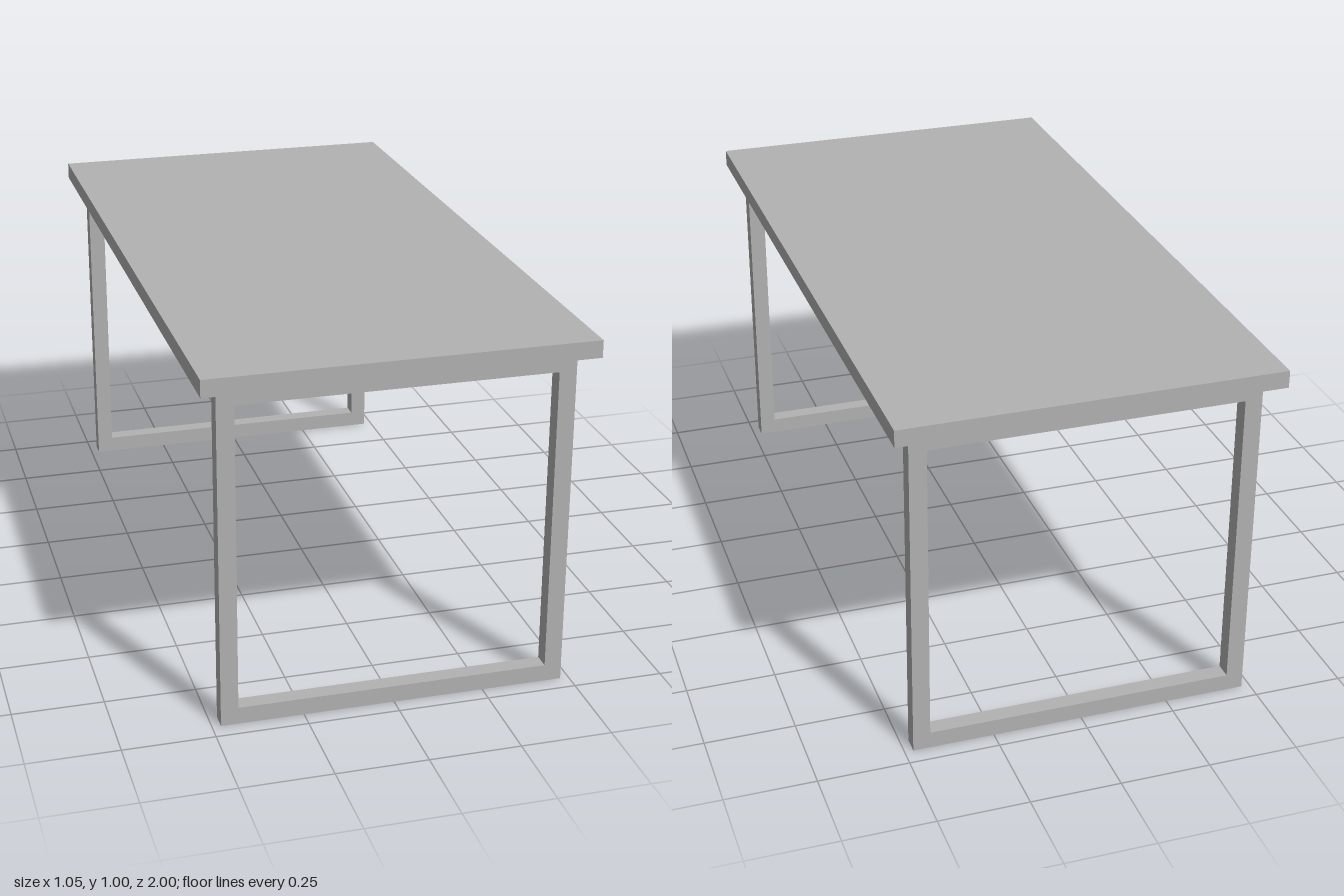
import * as THREE from 'three';

const TOP = { width: 1.048, length: 2, thickness: 0.048, height: 1 };
const BAR = 0.0476; // square section of the leg frames
const INSET = 0.048; // frame setback from the tabletop edges

// Rectangular loop of square bar, centred on x and z, standing on y = 0
function frameGeometry(width, height) {
  const w = width / 2;
  const shape = new THREE.Shape([
    new THREE.Vector2(-w, 0),
    new THREE.Vector2(w, 0),
    new THREE.Vector2(w, height),
    new THREE.Vector2(-w, height),
  ]);
  shape.holes.push(new THREE.Path([
    new THREE.Vector2(-w + BAR, BAR),
    new THREE.Vector2(-w + BAR, height - BAR),
    new THREE.Vector2(w - BAR, height - BAR),
    new THREE.Vector2(w - BAR, BAR),
  ]));
  return new THREE.ExtrudeGeometry(shape, { depth: BAR, bevelEnabled: false })
    .translate(0, 0, -BAR / 2);
}

export function createModel() {
  const table = new THREE.Group();
  table.name = 'table';
  const grey = new THREE.MeshStandardMaterial({ color: 0xb2b2b2 });
  grey.name = 'light grey';

  // Tabletop slab
  const top = new THREE.Mesh(new THREE.BoxGeometry(TOP.width, TOP.thickness, TOP.length), grey);
  top.name = 'tabletop';
  top.position.y = TOP.height - TOP.thickness / 2;
  table.add(top);

  // Leg frames at the front and back ends
  const geometry = frameGeometry(TOP.width - 2 * INSET, TOP.height - TOP.thickness);
  for (const [name, side] of [['frontLegFrame', 1], ['backLegFrame', -1]]) {
    const frame = new THREE.Mesh(geometry, grey);
    frame.name = name;
    frame.position.z = side * (TOP.length / 2 - INSET - BAR / 2);
    table.add(frame);
  }
  return table;
}
